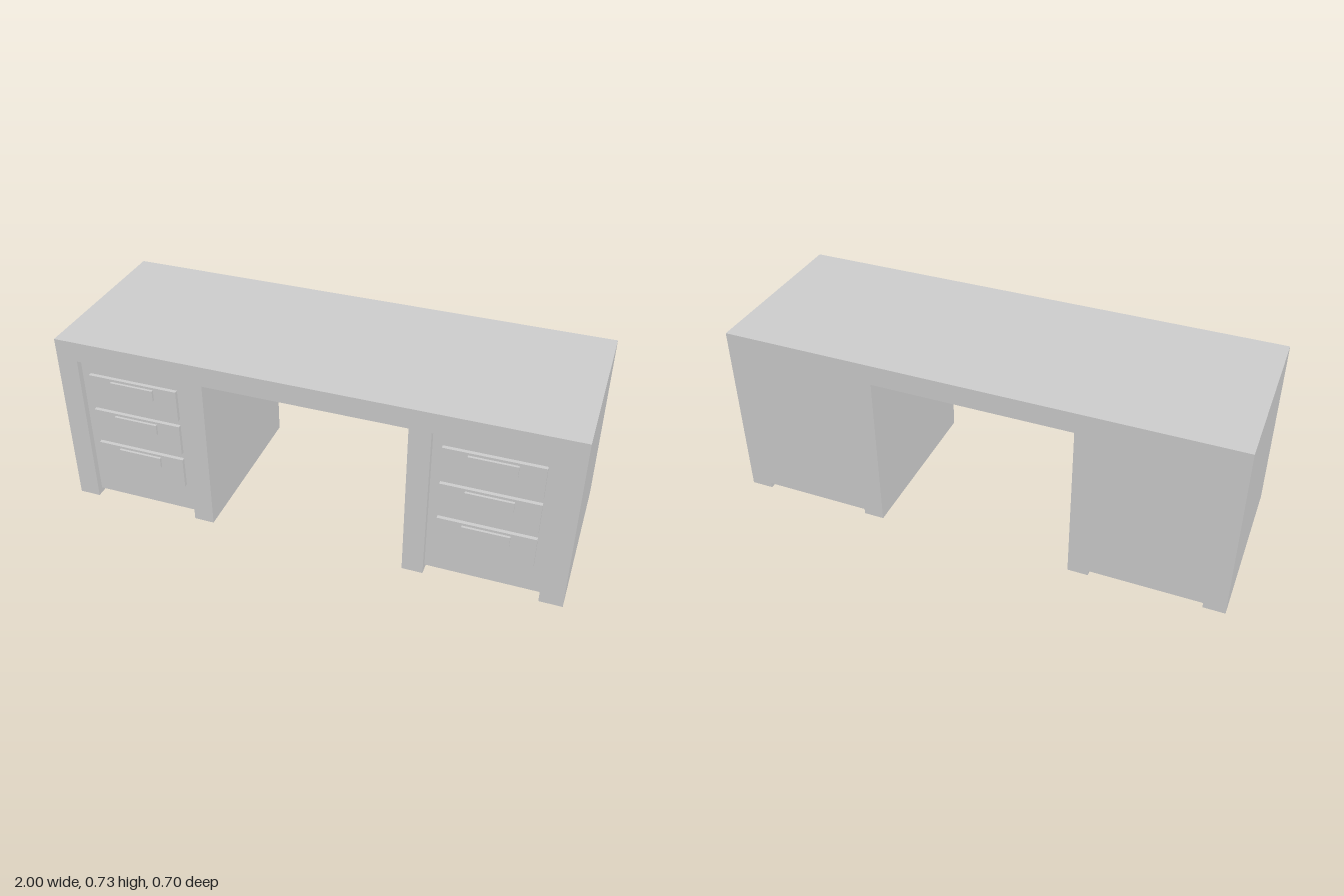
import * as THREE from 'three';

const material = new THREE.MeshStandardMaterial({ color: 0xcccccc, flatShading: true });
const FRONT = 0.35, BACK = -0.35;
const HEIGHT = 0.732, UNDERSIDE = 0.65, FACE = 0.325, DRAWER = 0.34;

// Box given by its limits on each axis
function box(name, [x0, x1], [y0, y1], [z0, z1]) {
  const mesh = new THREE.Mesh(new THREE.BoxGeometry(x1 - x0, y1 - y0, z1 - z0), material);
  mesh.position.set((x0 + x1) / 2, (y0 + y1) / 2, (z0 + z1) / 2);
  mesh.name = name;
  return mesh;
}

// Worktop and four side panels as one continuous profile
function frame() {
  const outline = [
    [-1, 0], [-0.915, 0], [-0.915, UNDERSIDE], [-0.476, UNDERSIDE], [-0.476, 0], [-0.395, 0],
    [-0.395, UNDERSIDE], [0.39, UNDERSIDE], [0.39, 0], [0.472, 0], [0.472, UNDERSIDE],
    [0.911, UNDERSIDE], [0.911, 0], [1, 0], [1, HEIGHT], [-1, HEIGHT],
  ].map(([x, y]) => new THREE.Vector2(x, y));
  const geometry = new THREE.ExtrudeGeometry(new THREE.Shape(outline), {
    depth: FRONT - BACK, bevelEnabled: false,
  });
  const mesh = new THREE.Mesh(geometry, material);
  mesh.position.z = BACK;
  mesh.name = 'worktopAndSidePanels';
  return mesh;
}

// Cabinet set between two side panels, with three drawers and their handles
function cabinet(name, centreX) {
  const group = new THREE.Group();
  group.name = name;
  group.position.x = centreX;
  group.add(box('cabinetBody', [-0.2195, 0.2195], [0.022, UNDERSIDE], [BACK, FACE]));
  for (let i = 0; i < 3; i++) {
    const top = 0.591 - i * 0.1575;
    group.add(
      box('drawerFront', [-0.183, 0.183], [top - 0.13, top], [FACE, DRAWER]),
      box('drawerHandle', [-0.089, 0.089], [top - 0.054, top - 0.01], [DRAWER, FRONT]),
    );
  }
  return group;
}

export function createModel() {
  const desk = new THREE.Group();
  desk.name = 'desk';
  desk.add(frame(), cabinet('leftCabinet', 0.6915), cabinet('rightCabinet', -0.6955));
  return desk;
}
